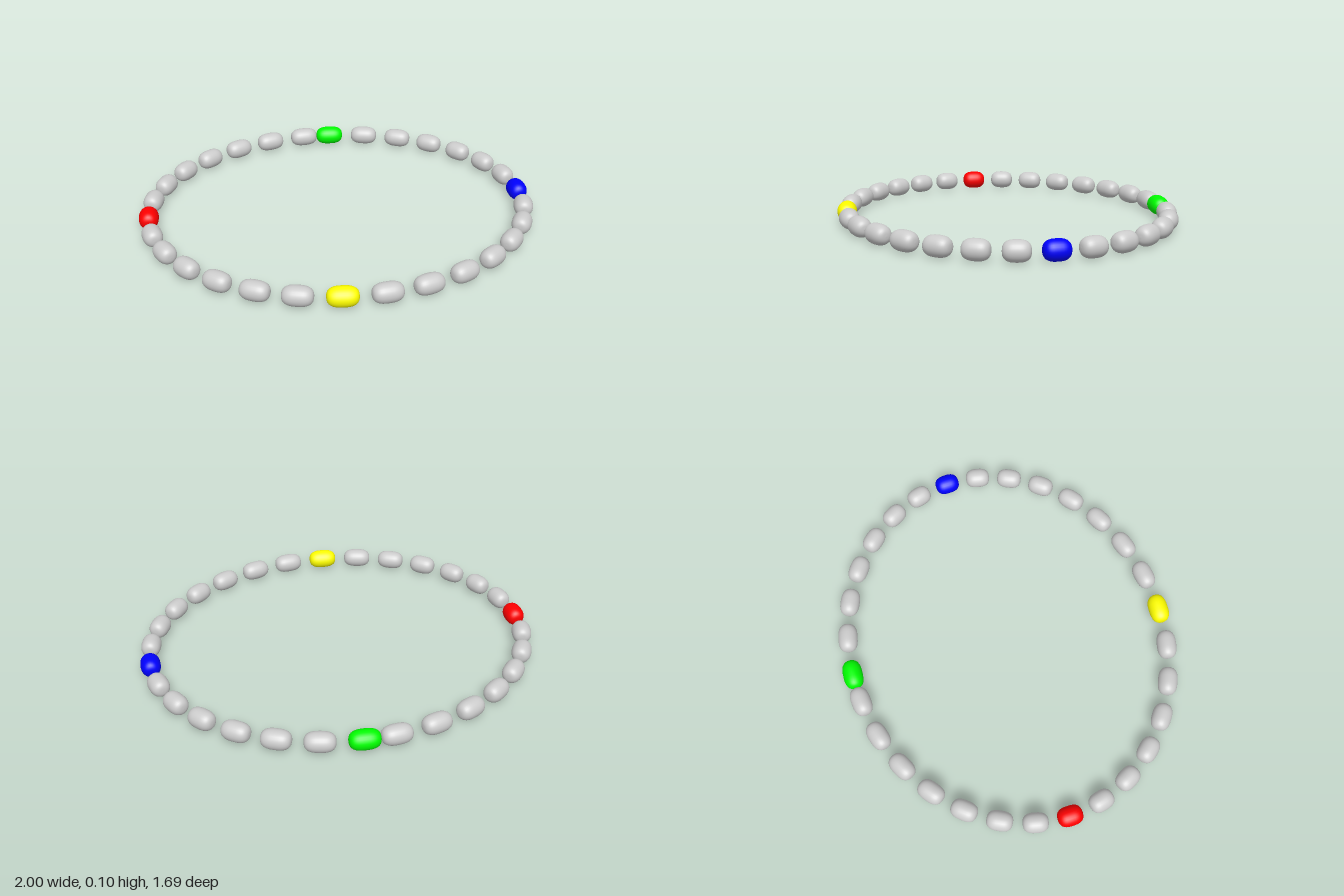
import * as THREE from 'three';

const A = 0.951, B = 0.798, Z0 = -0.004; // ellipse half axes and centre
const R = 0.049;                         // bead radius
const HALF_LENGTH = 0.074;               // longest bead, halved
const PER_SIDE = 15;

// Bead with softly squared ends, lying along x, half length 1
function beadGeometry() {
  const points = [];
  const steps = 20, power = 2 / 2.7;
  for (let i = 0; i <= steps; i++) {
    const t = (i / steps) * Math.PI;
    const c = Math.cos(t);
    const radius = i === 0 || i === steps ? 0 : R * Math.pow(Math.sin(t), power);
    points.push(new THREE.Vector2(radius, -Math.sign(c) * Math.pow(Math.abs(c), power)));
  }
  return new THREE.LatheGeometry(points, 28).rotateZ(Math.PI / 2);
}

export function createModel() {
  const group = new THREE.Group();
  group.name = 'beadRing';
  const geometry = beadGeometry();
  const material = (color) => new THREE.MeshStandardMaterial({ color });
  const grey = material(0xcccccc);

  // The four coloured beads, keyed by side and index from the back
  const accents = {
    'left0': ['greenBead', material(0x00ff00)],
    'left7': ['blueBead', material(0x0000ff)],
    'right7': ['redBead', material(0xff0000)],
    'right14': ['yellowBead', material(0xffff00)],
  };

  // Mirrored halves, each running from the back to the front
  for (const side of [1, -1]) {
    const label = side > 0 ? 'left' : 'right';
    for (let k = 0; k < PER_SIDE; k++) {
      const t = THREE.MathUtils.degToRad(4.5 + 12.1 * k);
      const dx = A * Math.cos(t), dz = B * Math.sin(t);
      const [name, mat] = accents[label + k] ?? [`${label}Bead${k + 1}`, grey];
      const bead = new THREE.Mesh(geometry, mat);
      bead.name = name;
      bead.position.set(side * A * Math.sin(t), R, Z0 - B * Math.cos(t));
      bead.rotation.y = side * Math.atan2(-dz, dx);
      bead.scale.x = HALF_LENGTH * Math.hypot(dx, dz) / A; // shorter where the ring is tighter
      group.add(bead);
    }
  }
  return group;
}
